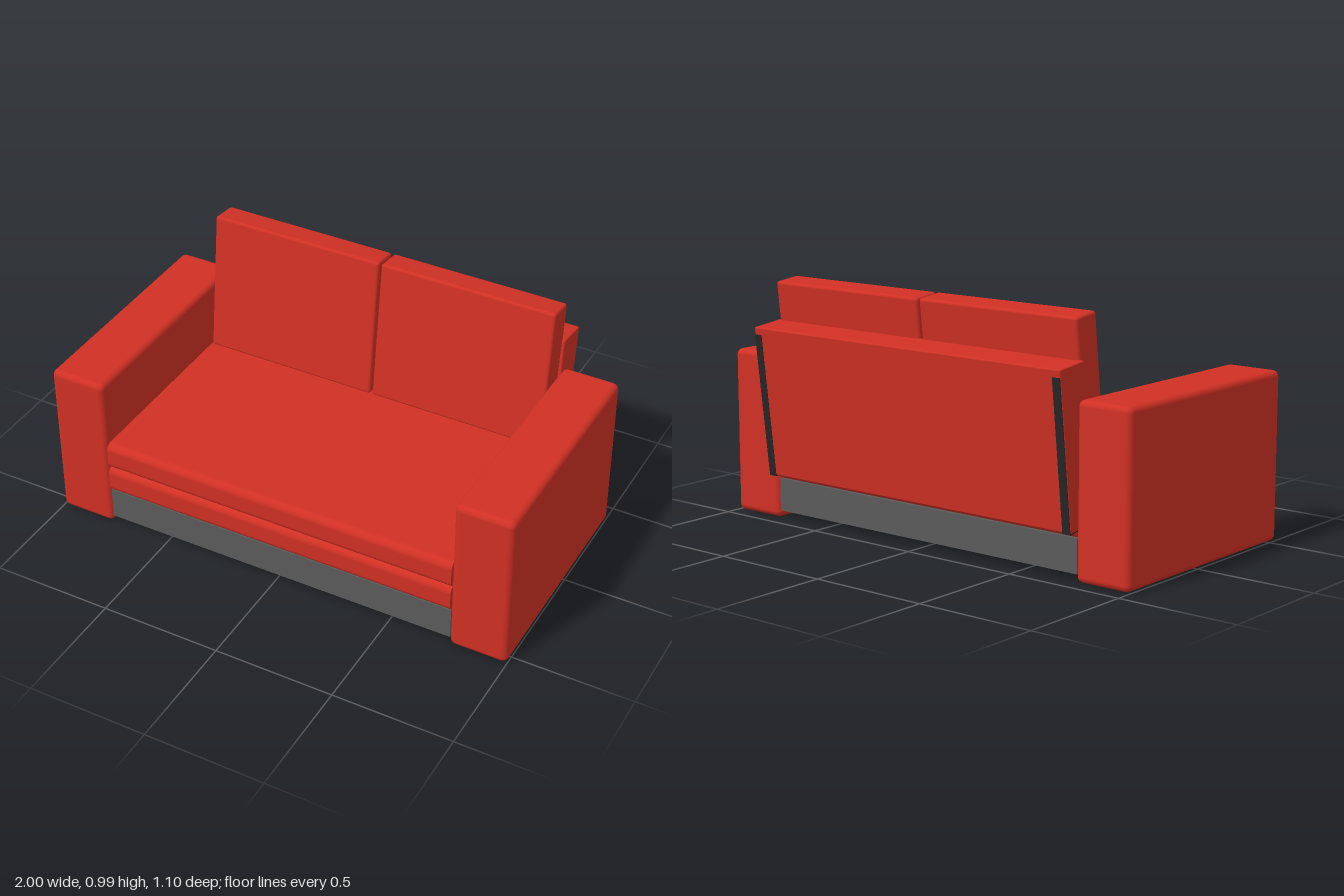
import * as THREE from 'three';
import { RoundedBoxGeometry } from 'three/addons/geometries/RoundedBoxGeometry.js';

const mat = (color) => new THREE.MeshStandardMaterial({ color });
const fabric = mat(0xd03024), grey = mat(0x5a5a5a), dark = mat(0x262626), wood = mat(0xa09a58);
const TILT = -0.115;

export function createModel() {
  const sofa = new THREE.Group();
  sofa.name = 'sofa';

  const add = (name, geometry, material, x, y, z, parent = sofa) => {
    const mesh = new THREE.Mesh(geometry, material);
    mesh.name = name;
    mesh.position.set(x, y, z);
    parent.add(mesh);
    return mesh;
  };
  const box = (w, h, d) => new THREE.BoxGeometry(w, h, d);
  const soft = (w, h, d, r) => new RoundedBoxGeometry(w, h, d, 3, r);

  // Seat layer: rounded side profile (depth by height) extruded across the width
  const seatGeometry = (width, height, depth, r) => {
    const s = new THREE.Shape();
    const a = depth / 2, b = height / 2;
    s.moveTo(-a + r, -b);
    s.lineTo(a - r, -b);
    s.absarc(a - r, -b + r, r, -Math.PI / 2, 0);
    s.absarc(a - r, b - r, r, 0, Math.PI / 2);
    s.absarc(-a + r, b - r, r, Math.PI / 2, Math.PI);
    s.absarc(-a + r, -b + r, r, Math.PI, Math.PI * 1.5);
    const g = new THREE.ExtrudeGeometry(s, { depth: width, bevelEnabled: false, curveSegments: 6 });
    return g.translate(0, 0, -width / 2).rotateY(-Math.PI / 2);
  };
  add('lowerSeatCushion', seatGeometry(1.52, 0.117, 0.985, 0.03), fabric, 0, 0.222, 0.058);
  add('upperSeatCushion', seatGeometry(1.52, 0.117, 0.985, 0.03), fabric, 0, 0.338, 0.058);

  // Leaning backrest panel with dark brackets wrapping its back and bottom
  const back = new THREE.Group();
  back.name = 'backrest';
  back.position.set(0, 0.505, -0.4425);
  back.rotation.x = TILT;
  sofa.add(back);
  add('backrestPanel', soft(1.54, 0.617, 0.146, 0.006), fabric, 0, 0, 0, back);

  for (const side of [-1, 1]) {
    add('armrest', soft(0.24, 0.68, 0.99, 0.025), fabric, side * 0.88, 0.34, 0.055);
    const cushion = add('backCushion', soft(0.752, 0.6, 0.118, 0.012), fabric, side * 0.381, 0.685, -0.345);
    cushion.rotation.x = TILT;
    add('backBracket', box(0.035, 0.59, 0.006), dark, side * 0.75, -0.016, -0.072, back);
    add('bottomBracket', box(0.035, 0.006, 0.14), dark, side * 0.75, -0.309, -0.004, back);
    // Base side rails and corner posts
    add('sideRail', box(0.03, 0.135, 0.97), grey, side * 0.746, 0.0975, 0.055);
    for (const z of [-0.385, 0.495])
      add('cornerPost', box(0.04, 0.125, 0.04), grey, side * 0.712, 0.1, z);
  }

  // Base rails, front and back
  add('frontRail', box(1.522, 0.135, 0.025), grey, 0, 0.0975, 0.528);
  add('backRail', box(1.522, 0.135, 0.025), grey, 0, 0.0975, -0.418);

  // Gently bowed slats running front to back, each held by two end caps
  const slatGeometry = box(0.065, 0.014, 0.9, 1, 1, 1);
  for (let i = 0; i < 8; i++) {
    const x = -0.63 + i * 0.18;
    add('slat', slatGeometry, wood, x, 0.125, 0.055);
    for (const z of [-0.385, 0.495])
      add('slatCap', box(0.075, 0.026, 0.05), dark, x, 0.125, z);
  }
  return sofa;
}
